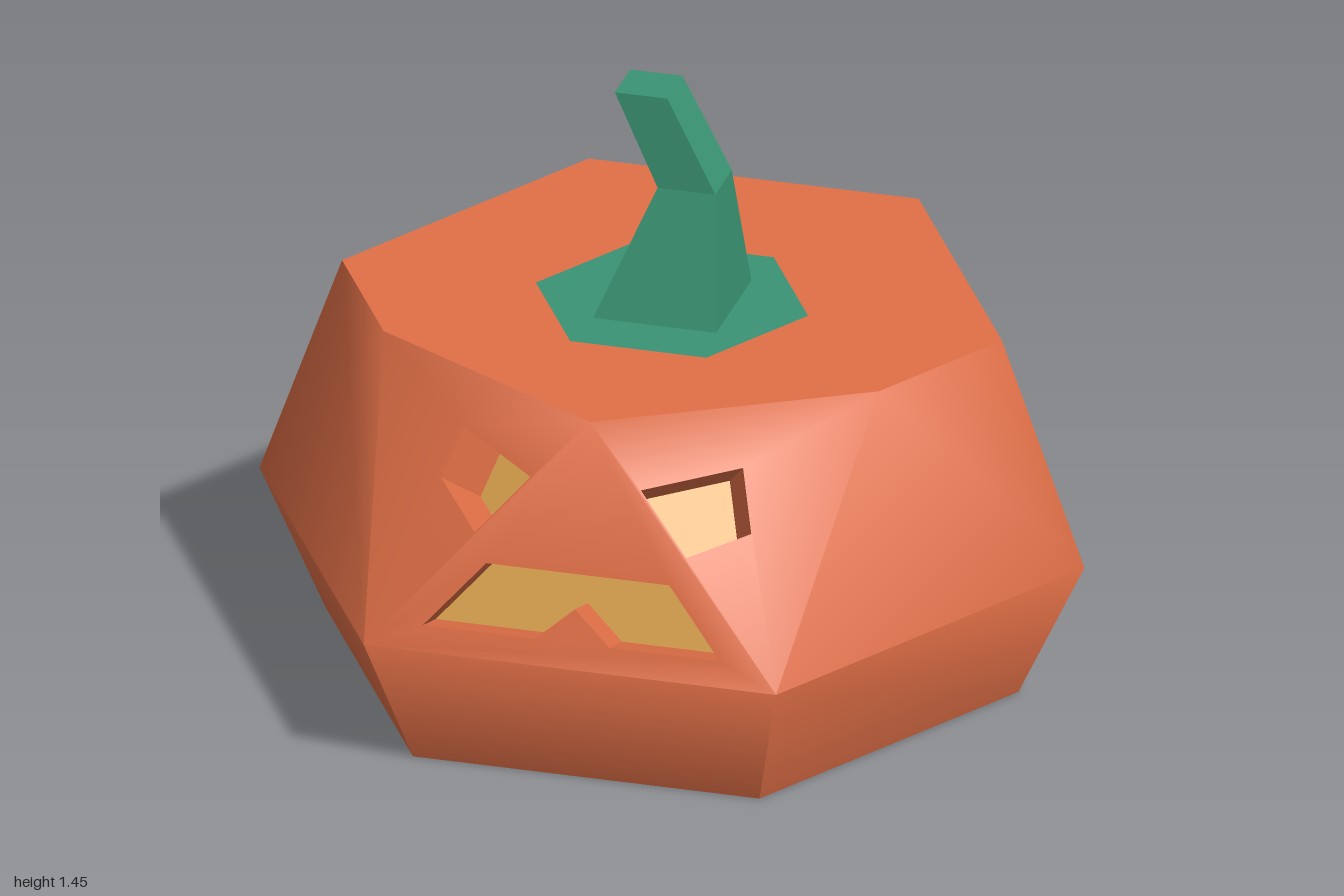
import * as THREE from 'three';
import { toCreasedNormals } from 'three/addons/utils/BufferGeometryUtils.js';

const colour = (name, color) => Object.assign(new THREE.MeshStandardMaterial({ color }), { name });

// Triangles of a convex polygon, counter-clockwise from outside
const fan = (out, pts) => {
  for (let i = 1; i < pts.length - 1; i++) out.push(pts[0], pts[i], pts[i + 1]);
};

const geometryFrom = (pts) => {
  const g = new THREE.BufferGeometry();
  // Rounding makes shared corners coincide exactly
  g.setAttribute('position', new THREE.Float32BufferAttribute(
    pts.flatMap((p) => p.toArray().map((v) => Math.round(v * 1e4) / 1e4)), 3));
  g.computeVertexNormals();
  return g;
};

const hexagon = (r, y) => Array.from({ length: 6 }, (_, i) => {
  const a = (i * Math.PI) / 3;
  return new THREE.Vector3(r * Math.cos(a), y, r * Math.sin(a));
});

export function createModel() {
  const orange = colour('pumpkinOrange', 0xe27047);
  const green = colour('stemGreen', 0x3a9474);
  const yellow = colour('glowYellow', 0xe0a650);
  const group = new THREE.Group();
  const add = (name, geometry, material) => {
    const mesh = new THREE.Mesh(geometry, material);
    mesh.name = name;
    group.add(mesh);
  };

  const body = [], walls = [];

  // Six-sided body: lower band, upper band, top and bottom
  const low = hexagon(0.84, 0), mid = hexagon(1, 0.34), top = hexagon(0.8, 0.9);
  const halfway = (i) => top[i].clone().lerp(top[i + 1], 0.5);
  const [rightCut, frontCut, leftCut] = [0, 1, 2].map(halfway);
  for (let i = 0; i < 6; i++) {
    const j = (i + 1) % 6;
    fan(body, [low[i], mid[i], mid[j], low[j]]);
    if (i === 1) continue; // face panels go here
    const a = i === 2 ? leftCut : top[i];
    const b = i === 0 ? rightCut : top[j];
    fan(body, [mid[i], a, b, mid[j]]);
  }
  fan(body, low);
  fan(body, [top[0], rightCut, frontCut, leftCut, top[3], top[4], top[5]].reverse());

  // Triangular face panel with a recessed cut-out and a glowing floor
  const facePanel = (name, corners, outline, depth) => {
    const plane = new THREE.Plane().setFromCoplanarPoints(...corners);
    const n = plane.normal;
    const onPlane = (x, y) => new THREE.Vector3(x, y, -(plane.constant + n.x * x + n.y * y) / n.z);
    const flat = outline.map(([x, y]) => new THREE.Vector2(x, y));
    const trace = (shape, out, inset) => {
      const p = new THREE.ShapeGeometry(shape).toNonIndexed().attributes.position;
      for (let i = 0; i < p.count; i++) {
        out.push(onPlane(p.getX(i), p.getY(i)).addScaledVector(n, -inset));
      }
    };
    const panel = new THREE.Shape(corners.map((c) => new THREE.Vector2(c.x, c.y)));
    panel.holes.push(new THREE.Path(flat));
    trace(panel, body, 0);

    const rim = outline.map(([x, y]) => onPlane(x, y));
    const inner = rim.map((p) => p.clone().addScaledVector(n, -depth));
    rim.forEach((p, i) => {
      const j = (i + 1) % rim.length;
      fan(walls, [p, rim[j], inner[j], inner[i]]);
    });

    const floor = [];
    trace(new THREE.Shape(flat), floor, depth);
    add(name, geometryFrom(floor), yellow);
  };

  facePanel('mouthGlow', [mid[2], mid[1], frontCut], [
    [-0.362, 0.4], [-0.09, 0.4], [0, 0.477], [0.09, 0.4],
    [0.358, 0.4], [0.222, 0.556], [-0.222, 0.556],
  ], 0.115);
  facePanel('leftEyeGlow', [frontCut, mid[1], rightCut],
    [[0.134, 0.759], [0.256, 0.62], [0.385, 0.653], [0.342, 0.781]], 0.157);
  facePanel('rightEyeGlow', [frontCut, leftCut, mid[2]],
    [[-0.134, 0.759], [-0.337, 0.796], [-0.374, 0.69], [-0.257, 0.62]], 0.157);

  add('body', toCreasedNormals(geometryFrom(body), 0.85), orange);
  add('cutoutWalls', geometryFrom(walls), orange);

  // Flat green patch around the stem
  const patch = [];
  fan(patch, hexagon(0.33, 0.903).reverse());
  add('stemPatch', geometryFrom(patch), green);

  // Bent square stem: left x, right x, height, half depth
  const rings = [
    [-0.15, 0.15, 0.9, 0.15],
    [-0.015, 0.125, 1.22, 0.07],
    [-0.12, 0.007, 1.45, 0.065],
  ].map(([l, r, y, d]) => [[r, -d], [r, d], [l, d], [l, -d]].map(([x, z]) => new THREE.Vector3(x, y, z)));
  const stem = [];
  for (let k = 0; k < 2; k++) {
    for (let i = 0; i < 4; i++) {
      const j = (i + 1) % 4;
      fan(stem, [rings[k][i], rings[k + 1][i], rings[k + 1][j], rings[k][j]]);
    }
  }
  fan(stem, [...rings[2]].reverse());
  add('stem', geometryFrom(stem), green);

  return group;
}
